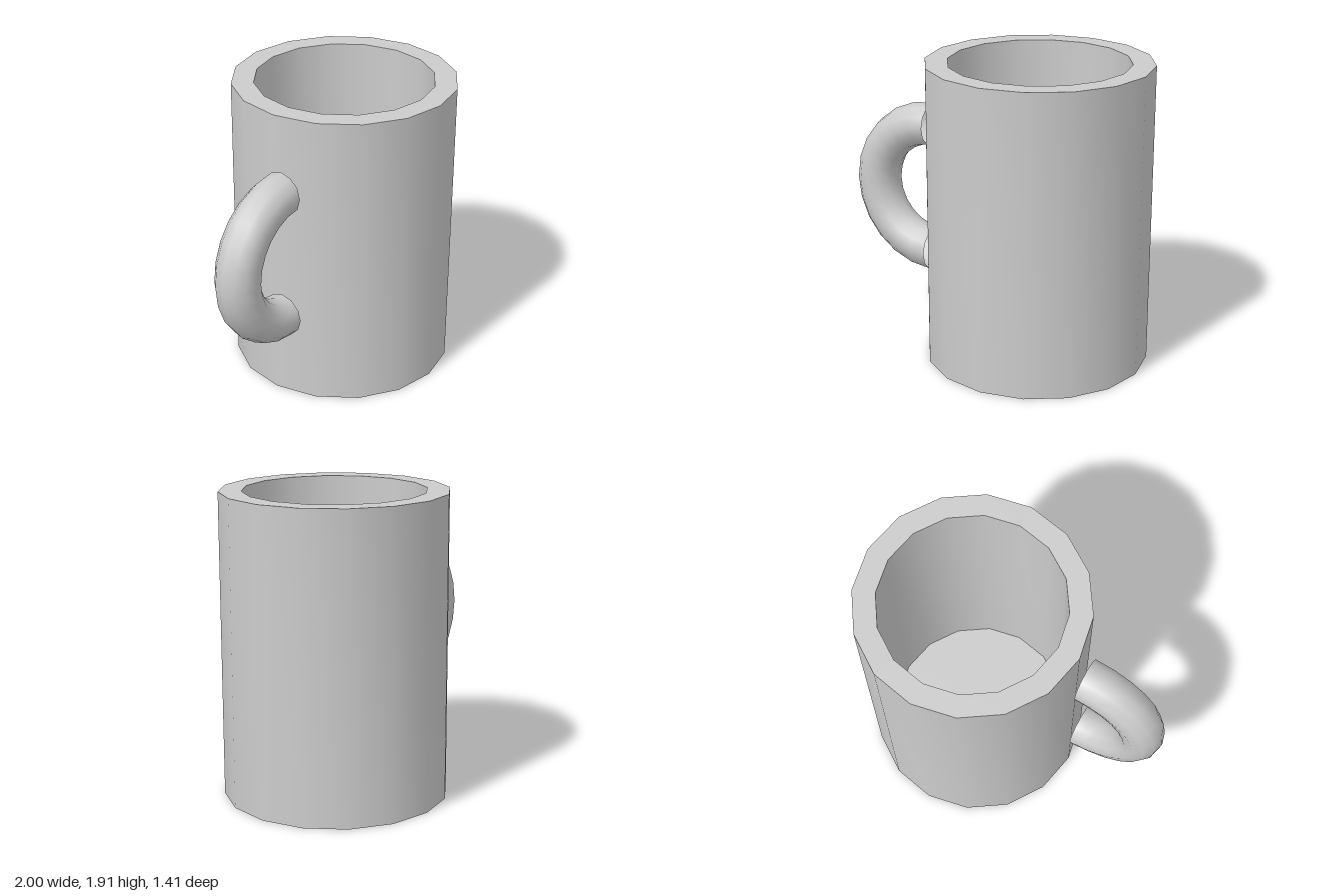
import * as THREE from 'three';
import { toCreasedNormals } from 'three/addons/utils/BufferGeometryUtils.js';

export function createModel() {
  const group = new THREE.Group();
  const material = new THREE.MeshStandardMaterial({ color: 0xcccccc });
  const height = 1.915, outer = 0.706, inner = 0.566, floor = 0.14;

  // Hollow 16-sided body: base, outer wall, rim, inner wall, inside floor
  const profile = [[0, 0], [outer, 0], [outer, height], [inner, height], [inner, floor], [0, floor]]
    .map(([r, y]) => new THREE.Vector2(r, y));
  const body = new THREE.Mesh(toCreasedNormals(new THREE.LatheGeometry(profile, 16), Math.PI / 4), material);
  body.name = 'mugBody';
  body.position.x = 0.292;
  group.add(body);

  // Half-ring handle with open ends, set just clear of the wall
  const handleMaterial = material.clone();
  handleMaterial.side = THREE.DoubleSide;
  const handle = new THREE.Mesh(new THREE.TorusGeometry(0.423, 0.14, 12, 12, Math.PI), handleMaterial);
  handle.name = 'handle';
  handle.rotation.z = Math.PI / 2;
  handle.position.set(-0.437, 1.007, 0.07);
  group.add(handle);

  return group;
}
